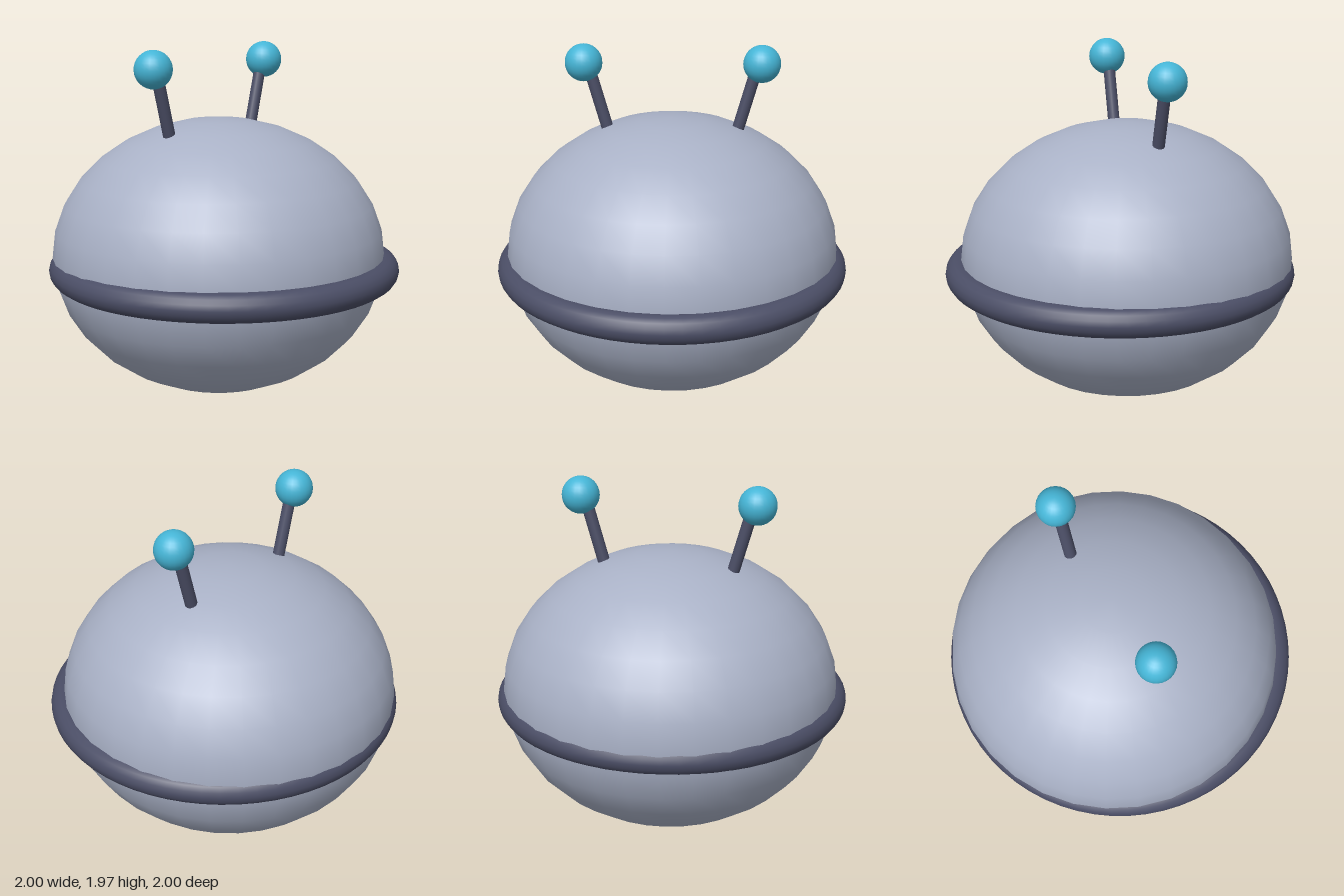
import * as THREE from 'three';

export function createModel() {
  const model = new THREE.Group();
  const shell = new THREE.MeshStandardMaterial({ color: 0xa9b1c6 });
  shell.name = 'pale blue grey';
  const trim = new THREE.MeshStandardMaterial({ color: 0x4b4e66 });
  trim.name = 'dark slate';
  const tip = new THREE.MeshStandardMaterial({ color: 0x45b5d6 });
  tip.name = 'cyan';

  const add = (name, geometry, material, parent = model) => {
    const mesh = new THREE.Mesh(geometry, material);
    mesh.name = name;
    parent.add(mesh);
    return mesh;
  };

  // Squashed body, set slightly back inside the ring
  const body = add('body', new THREE.SphereGeometry(1, 32, 16), shell);
  body.scale.set(0.95, 0.783, 0.95);
  body.position.set(0, 0.785, -0.04);

  // Bumper ring around the middle
  const ring = add('ring', new THREE.TorusGeometry(0.92, 0.08, 16, 64), trim);
  ring.rotation.x = Math.PI / 2;
  ring.position.y = 0.717;

  // Pair of antennae leaning outwards, each with a ball tip
  for (const side of [1, -1]) {
    const antenna = new THREE.Group();
    antenna.name = side > 0 ? 'leftAntenna' : 'rightAntenna';
    const start = new THREE.Vector3(side * 0.365, 1.48, -0.09);
    const end = new THREE.Vector3(side * 0.474, 1.865, -0.09);
    const stem = add('antennaStem', new THREE.CylinderGeometry(0.034, 0.034, start.distanceTo(end), 16), trim, antenna);
    stem.position.copy(start).lerp(end, 0.5);
    stem.quaternion.setFromUnitVectors(new THREE.Vector3(0, 1, 0), end.clone().sub(start).normalize());
    const ball = add('antennaTip', new THREE.SphereGeometry(0.105, 24, 16), tip, antenna);
    ball.position.set(side * 0.496, 1.867, -0.09);
    model.add(antenna);
  }

  return model;
}
